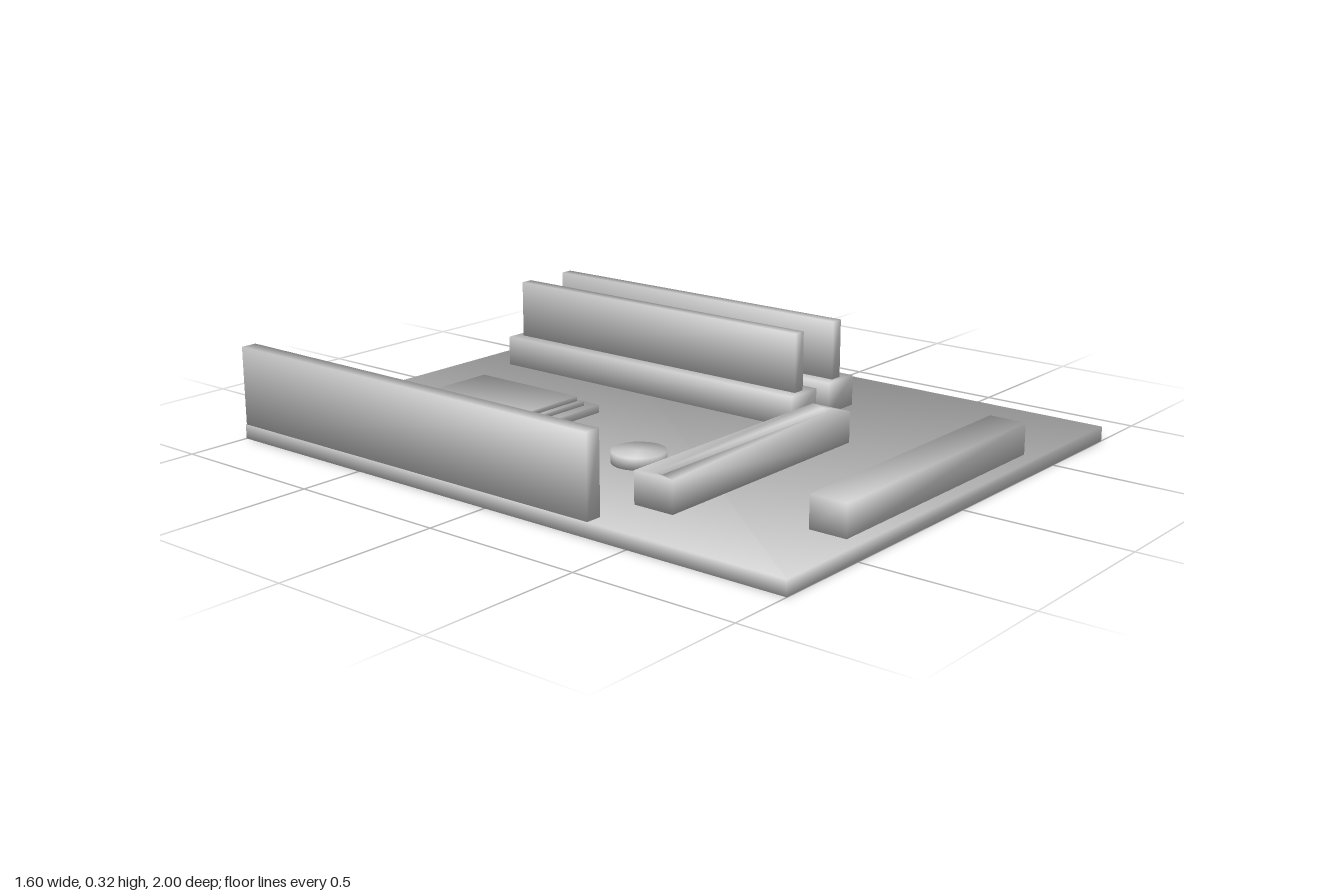
import * as THREE from 'three';

const material = new THREE.MeshStandardMaterial({ color: 0xcccccc });
const TOP = 0.045; // upper face of the board

// Average the normals of all coincident corners, for soft shading across edges
function soften(geometry) {
  const p = geometry.attributes.position, n = geometry.attributes.normal;
  const sums = new Map();
  const key = (i) => [p.getX(i), p.getY(i), p.getZ(i)].map((v) => Math.round(v * 1e4)).join();
  const v = new THREE.Vector3();
  for (let i = 0; i < p.count; i++) {
    const k = key(i);
    if (!sums.has(k)) sums.set(k, new THREE.Vector3());
    sums.get(k).add(v.fromBufferAttribute(n, i));
  }
  for (let i = 0; i < p.count; i++) {
    v.copy(sums.get(key(i))).normalize();
    n.setXYZ(i, v.x, v.y, v.z);
  }
  return geometry;
}

export function createModel() {
  const group = new THREE.Group();

  function add(name, geometry) {
    const mesh = new THREE.Mesh(soften(geometry), material);
    mesh.name = name;
    group.add(mesh);
    return mesh;
  }

  // Box given by its limits on each axis
  function block(name, [x0, x1], [y0, y1], [z0, z1]) {
    const mesh = add(name, new THREE.BoxGeometry(x1 - x0, y1 - y0, z1 - z0));
    mesh.position.set((x0 + x1) / 2, (y0 + y1) / 2, (z0 + z1) / 2);
  }

  // Circuit board and the upright port plate along its right edge
  block('board', [-0.8, 0.8], [0, TOP], [-1, 1]);
  block('portPlate', [-0.8, -0.75], [TOP, 0.285], [-0.995, 0.37]);

  // Stepped processor socket
  block('socketBase', [-0.54, -0.04], [TOP, 0.07], [-0.755, -0.26]);
  block('socketFrame', [-0.505, -0.075], [0.07, 0.085], [-0.725, -0.29]);
  block('processor', [-0.485, -0.09], [0.085, 0.1], [-0.7, -0.305]);

  // Two long slots, each holding an upright module
  for (const x of [0.265, 0.46]) {
    block('memorySlot', [x - 0.063, x + 0.063], [TOP, 0.14], [-0.87, 0.29]);
    block('memoryModule', [x - 0.02, x + 0.02], [0.14, 0.322], [-0.845, 0.27]);
  }

  // Connectors
  block('powerConnector', [0.62, 0.72], [TOP, 0.172], [-0.45, -0.09]);
  block('frontConnector', [-0.485, 0.41], [TOP, 0.14], [0.84, 0.955]);

  // Coin battery
  const battery = add('battery', new THREE.CylinderGeometry(0.08, 0.08, 0.035, 32));
  battery.position.set(-0.335, TOP + 0.0175, 0.15);

  // Expansion slot: a frame round a narrow groove, with a floor inside
  const rectangle = (Type, x0, x1, z0, z1) => new Type([
    new THREE.Vector2(x0, -z0), new THREE.Vector2(x0, -z1),
    new THREE.Vector2(x1, -z1), new THREE.Vector2(x1, -z0),
  ]);
  const outline = rectangle(THREE.Shape, -0.62, 0.19, 0.375, 0.505);
  outline.holes.push(rectangle(THREE.Path, -0.6, 0.17, 0.425, 0.455));
  const frame = new THREE.ExtrudeGeometry(outline, { depth: 0.14 - TOP, bevelEnabled: false });
  add('expansionSlot', frame.rotateX(-Math.PI / 2)).position.y = TOP;
  block('expansionSlotFloor', [-0.6, 0.17], [TOP, 0.1], [0.425, 0.455]);

  return group;
}
